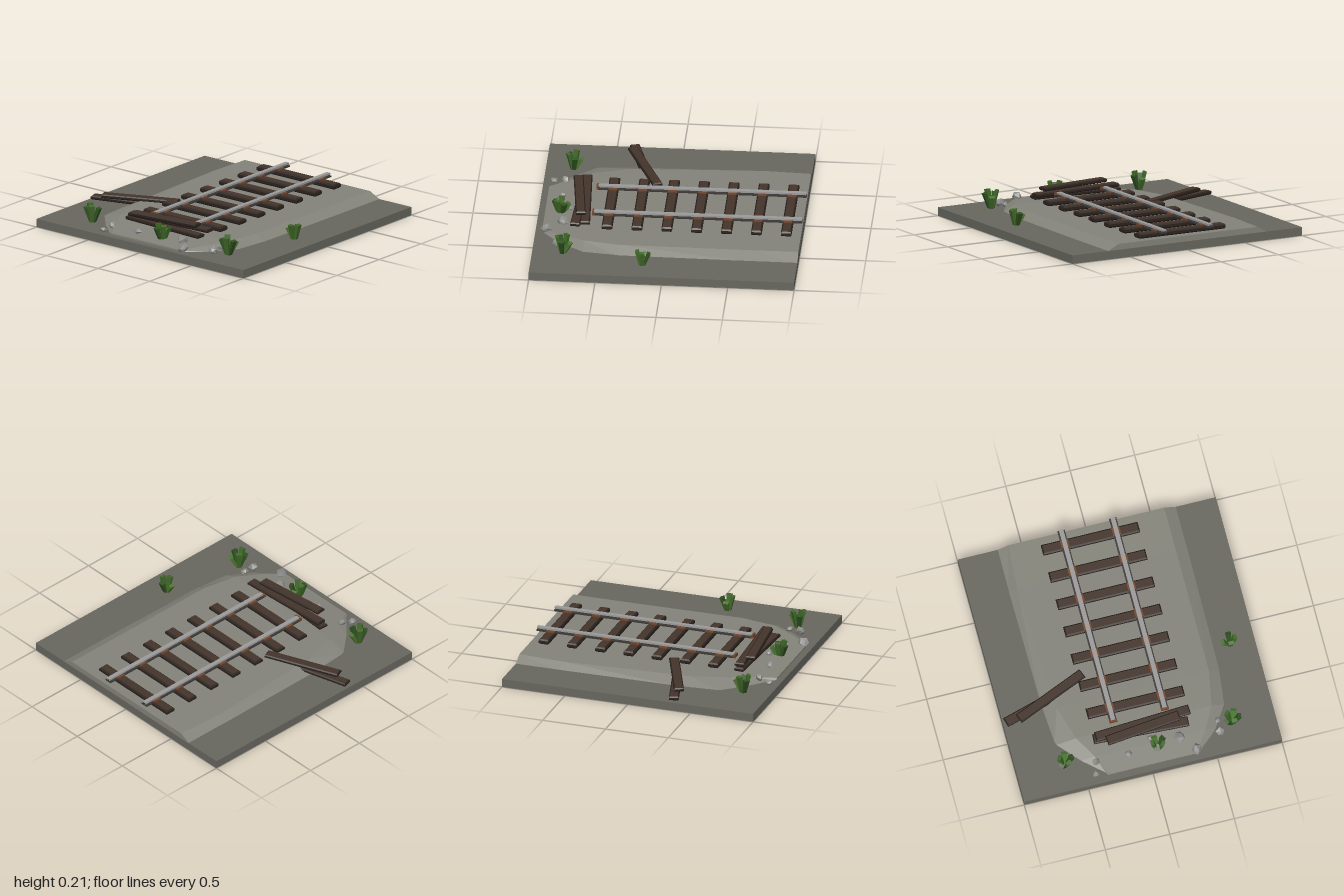
import * as THREE from 'three';

const mat = (color, flatShading = true) => new THREE.MeshStandardMaterial({ color, flatShading });
const earth = mat(0x67665e), gravel = mat(0x84837a), stone = mat(0x8c8c8a);
const woodTop = mat(0x43332b), woodEdge = mat(0x2b221d);
const steel = mat(0x9a9a9a), steelDark = mat(0x3c3835), rust = mat(0x75452a);
const greens = [mat(0x3f6a26), mat(0x2f521f), mat(0x4a7730)];

function add(parent, name, geometry, material, x = 0, y = 0, z = 0) {
  const mesh = new THREE.Mesh(geometry, material);
  mesh.name = name;
  mesh.position.set(x, y, z);
  parent.add(mesh);
  return mesh;
}

// Chamfered plank lying along x, centred on its middle
function plankGeometry(length, height, width, bevel = 0.01) {
  const w = length / 2 - bevel, d = width / 2 - bevel;
  const shape = new THREE.Shape([[-w, -d], [w, -d], [w, d], [-w, d]].map(p => new THREE.Vector2(...p)));
  const g = new THREE.ExtrudeGeometry(shape, {
    depth: height - 2 * bevel, bevelEnabled: true, bevelSize: bevel, bevelThickness: bevel, bevelSegments: 1,
  });
  g.translate(0, 0, bevel - height / 2);
  g.rotateX(-Math.PI / 2);
  return g;
}

// Gravel bed lofted from cross-sections: z, base left/right, top left/right, top height
function gravelGeometry() {
  const rows = [
    [-1, -0.7, 0.7, -0.61, 0.6, 0.11],
    [-0.65, -0.7, 0.7, -0.63, 0.6, 0.108],
    [0.35, -0.69, 0.69, -0.58, 0.6, 0.11],
    [0.62, -0.67, 0.66, -0.5, 0.55, 0.108],
    [0.79, -0.52, 0.55, -0.4, 0.46, 0.094],
    [0.95, -0.34, 0.37, -0.32, 0.35, 0.078],
  ];
  const points = [], index = [];
  for (const [z, bl, br, tl, tr, h] of rows) points.push(bl, 0.06, z, tl, h, z, tr, h, z, br, 0.06, z);
  for (let r = 0; r < rows.length - 1; r++) {
    for (let c = 0; c < 3; c++) {
      const a = r * 4 + c, b = a + 4;
      index.push(a, b, a + 1, a + 1, b, b + 1);
    }
  }
  const e = (rows.length - 1) * 4;
  index.push(0, 1, 2, 0, 2, 3, e, e + 2, e + 1, e, e + 3, e + 2);
  const g = new THREE.BufferGeometry();
  g.setAttribute('position', new THREE.Float32BufferAttribute(points, 3));
  g.setIndex(index);
  g.computeVertexNormals();
  return g;
}

// Rail: dark foot and web, bright head, rusty broken end
function makeRail(x) {
  const rail = new THREE.Group();
  rail.name = 'rail';
  add(rail, 'railFoot', new THREE.BoxGeometry(0.056, 0.01, 1.57), steelDark, x, 0.151, -0.215);
  add(rail, 'railWeb', new THREE.BoxGeometry(0.022, 0.02, 1.57), steelDark, x, 0.16, -0.215);
  add(rail, 'railHead', new THREE.BoxGeometry(0.034, 0.014, 1.57), steel, x, 0.169, -0.215);
  add(rail, 'railEnd', new THREE.BoxGeometry(0.06, 0.024, 0.018), rust, x, 0.16, 0.575);
  return rail;
}

// Lumpy stone with a repeatable irregular outline
function rockGeometry(size, seed) {
  const g = new THREE.IcosahedronGeometry(size, 0);
  const p = g.attributes.position;
  for (let i = 0; i < p.count; i++) {
    const x = p.getX(i), y = p.getY(i), z = p.getZ(i);
    const k = 0.95 + 0.25 * Math.sin(seed * 2.3 + (x * 2.1 + y * 3.7 + z * 4.9) / size);
    p.setXYZ(i, x * k, y * k * 0.9, z * k);
  }
  g.computeVertexNormals();
  return g;
}

// Tuft of square blades leaning outwards
function makeTuft(x, z, height, turn, count) {
  const tuft = new THREE.Group();
  tuft.name = 'grassTuft';
  tuft.position.set(x, 0.06, z);
  for (let i = 0; i < count; i++) {
    const h = height * (1 - 0.12 * (i % 3));
    const g = new THREE.CylinderGeometry(0.03, 0.018, h, 4);
    g.rotateY(Math.PI / 4);
    g.scale(1, 1, 0.65);
    g.translate(0, h / 2, 0);
    const blade = add(tuft, 'grassBlade', g, greens[i % 3]);
    const a = turn + (i * Math.PI * 2) / count;
    blade.position.set(Math.sin(a) * 0.014, 0, Math.cos(a) * 0.014);
    blade.rotation.order = 'YXZ';
    blade.rotation.set(0.2 + 0.13 * (i % 3), a, 0);
  }
  return tuft;
}

export function createModel() {
  const model = new THREE.Group();
  model.name = 'brokenTrack';

  add(model, 'groundSlab', new THREE.BoxGeometry(2, 0.065, 2), earth, 0, 0.0325, 0);
  add(model, 'gravelBed', gravelGeometry(), gravel);

  // Sleepers with rusty rail plates
  const sleeper = plankGeometry(0.75, 0.04, 0.08);
  const plate = new THREE.BoxGeometry(0.062, 0.018, 0.066);
  for (let i = 0; i < 7; i++) {
    const z = -0.89 + i * 0.225;
    add(model, 'sleeper', sleeper, [woodTop, woodEdge], 0, 0.128, z);
    for (const x of [-0.2, 0.2]) add(model, 'railPlate', plate, rust, x, 0.15, z);
  }
  for (const x of [-0.2, 0.2]) model.add(makeRail(x));

  // Loose planks: x, y, z, length, turn
  const planks = [
    [-0.015, 0.126, 0.685, 0.73, -0.05],
    [0.008, 0.158, 0.645, 0.74, 0.055],
    [0, 0.19, 0.695, 0.58, 0.11],
    [-0.7, 0.088, 0.28, 0.58, 0.28],
    [-0.603, 0.12, 0.25, 0.6, 0.4],
  ];
  for (const [x, y, z, length, turn] of planks) {
    add(model, 'loosePlank', plankGeometry(length, 0.03, 0.075, 0.008), [woodTop, woodEdge], x, y, z).rotation.y = turn;
  }

  // Stones: x, y, z, size
  const stones = [
    [-0.425, 0.075, 0.92, 0.028], [-0.4, 0.095, 0.835, 0.032], [-0.155, 0.1, 0.835, 0.032],
    [0.26, 0.1, 0.795, 0.046], [0.36, 0.09, 0.925, 0.045], [0.57, 0.09, 0.735, 0.026],
    [0.565, 0.085, 0.83, 0.04], [0.04, 0.105, 0.755, 0.03],
  ];
  stones.forEach(([x, y, z, size], i) => {
    add(model, 'stone', rockGeometry(size, i + 1), stone, x, y, z).rotation.y = i * 1.3;
  });

  // Grass: x, z, height, turn, blades
  const tufts = [
    [-0.63, 0.79, 0.145, 0.5, 5], [0.08, 0.83, 0.14, 0.9, 5],
    [0.67, 0.77, 0.15, 0.2, 5], [0.81, 0.16, 0.125, 1.6, 4],
  ];
  for (const t of tufts) model.add(makeTuft(...t));

  return model;
}
